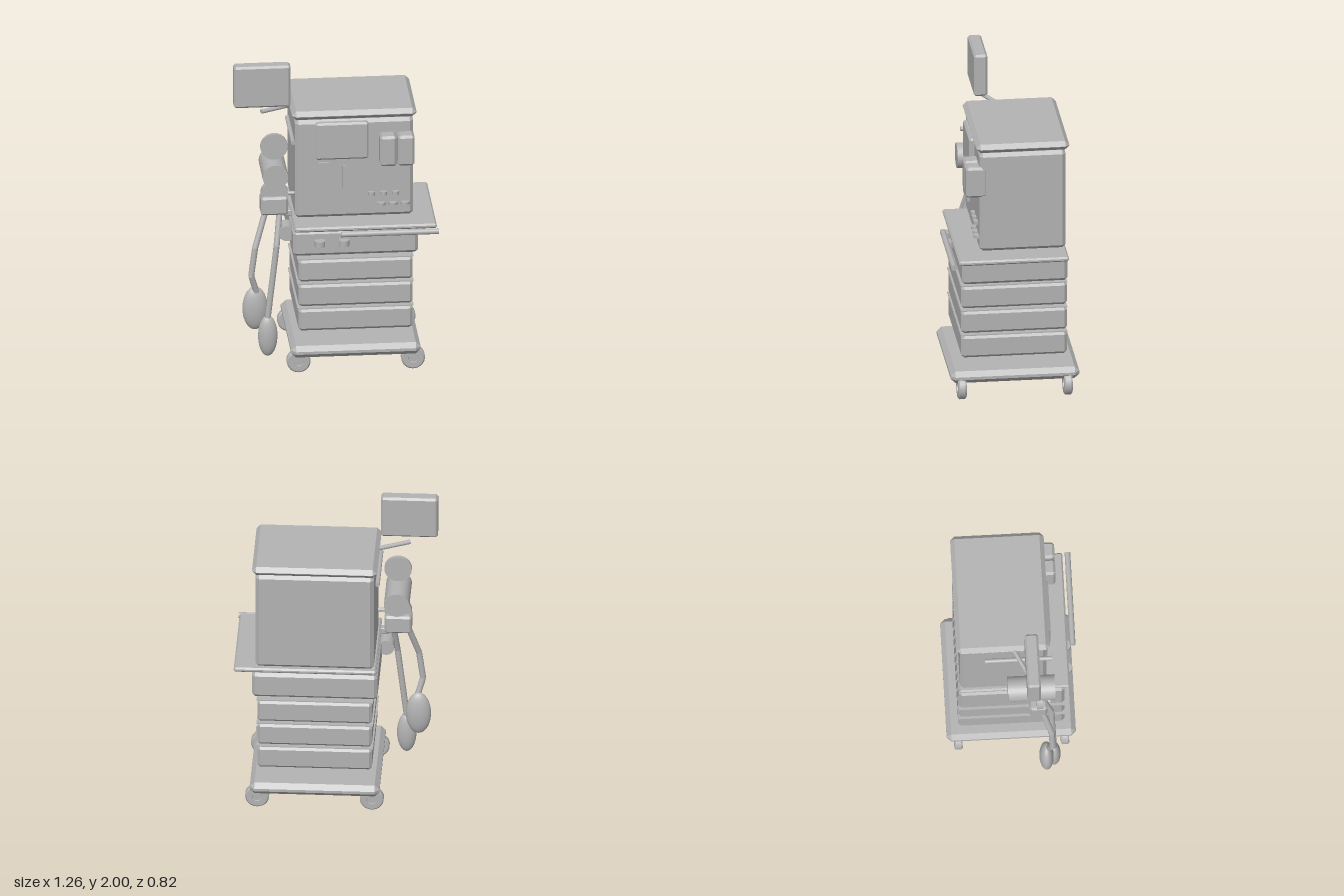
import * as THREE from 'three';
import { ConvexGeometry } from 'three/addons/geometries/ConvexGeometry.js';

export function createModel() {
  const model = new THREE.Group();
  model.name = 'anaesthesiaCart';
  const grey = new THREE.MeshStandardMaterial({ color: 0xb3b3b3 });
  grey.name = 'plainGrey';

  const add = (name, geometry) => {
    const mesh = new THREE.Mesh(geometry, grey);
    mesh.name = name;
    model.add(mesh);
    return mesh;
  };

  // Box between two limits on each axis, all edges chamfered by b
  const block = (name, [x0, x1], [y0, y1], [z0, z1], b = 0) => {
    const w = (x1 - x0) / 2, h = (y1 - y0) / 2, d = (z1 - z0) / 2;
    let geometry;
    if (b > 0) {
      const points = [];
      for (const i of [-1, 1]) for (const j of [-1, 1]) for (const k of [-1, 1]) {
        points.push(
          new THREE.Vector3(i * w, j * (h - b), k * (d - b)),
          new THREE.Vector3(i * (w - b), j * h, k * (d - b)),
          new THREE.Vector3(i * (w - b), j * (h - b), k * d));
      }
      geometry = new ConvexGeometry(points);
    } else {
      geometry = new THREE.BoxGeometry(2 * w, 2 * h, 2 * d);
    }
    const mesh = add(name, geometry);
    mesh.position.set((x0 + x1) / 2, (y0 + y1) / 2, (z0 + z1) / 2);
    return mesh;
  };

  // Cylinder between two points
  const rod = (name, a, b, r, sides = 32) => {
    const p = new THREE.Vector3(...a), q = new THREE.Vector3(...b);
    const dir = q.clone().sub(p);
    const mesh = add(name, new THREE.CylinderGeometry(r, r, dir.length(), sides));
    mesh.position.copy(p).add(q).multiplyScalar(0.5);
    mesh.quaternion.setFromUnitVectors(new THREE.Vector3(0, 1, 0), dir.normalize());
    return mesh;
  };

  // Wheeled base
  block('base', [-0.295, 0.517], [0.11, 0.188], [-0.41, 0.4], 0.03);
  const wheelProfile = [[0, -0.018], [0.03, -0.018], [0.032, -0.026], [0.066, -0.026],
    [0.075, -0.017], [0.075, 0.017], [0.066, 0.026], [0.032, 0.026], [0.03, 0.018], [0, 0.018]];
  for (const x of [-0.246, 0.472]) for (const z of [-0.337, 0.33]) {
    // Doubled points keep the rim edges crisp
    const points = wheelProfile.flatMap(([r, y]) => [new THREE.Vector2(r, y), new THREE.Vector2(r, y)]);
    const wheel = add('casterWheel', new THREE.LatheGeometry(points, 32));
    wheel.rotation.x = Math.PI / 2;
    wheel.position.set(x, 0.075, z);
  }

  // Drawer stack with a thin divider above each drawer
  for (const y of [0.268, 0.433, 0.6]) {
    block('drawer', [-0.245, 0.472], [y, y + 0.148], [-0.335, 0.33], 0.018);
    block('drawerDivider', [-0.253, 0.477], [y + 0.152, y + 0.159], [-0.335, 0.335]);
  }
  block('controlDrawer', [-0.28, 0.506], [0.775, 0.945], [-0.335, 0.33], 0.02);
  for (const x of [-0.113, 0.038]) rod('drawerKnob', [x, 0.852, 0.352], [x, 0.89, 0.352], 0.033);

  // Worktop and front rail
  block('worktop', [-0.272, 0.62], [0.949, 0.98], [-0.33, 0.362], 0.01);
  rod('frontRail', [0.016, 0.945, 0.395], [0.628, 0.945, 0.395], 0.018);

  // Cabinet and lid
  block('cabinet', [-0.257, 0.485], [0.987, 1.645], [-0.325, 0.217], 0.022);
  block('lid', [-0.277, 0.506], [1.653, 1.71], [-0.348, 0.238], 0.027);

  // Cabinet front details
  block('display', [-0.13, 0.202], [1.39, 1.637], [0.2, 0.25], 0.012);
  for (const x of [0.27, 0.382]) block('vaporizer', [x, x + 0.105], [1.353, 1.555], [0.165, 0.303], 0.015);
  block('flowPanel', [-0.108, -0.045], [1.115, 1.365], [0.21, 0.235]);
  block('flowSlot', [0.041, 0.058], [1.19, 1.34], [0.21, 0.23]);
  for (let i = 0; i < 3; i++) {
    const x = 0.222 + i * 0.075;
    rod('upperKnob', [x, 1.132, 0.222], [x, 1.157, 0.222], 0.022);
    rod('lowerKnob', [x + 0.06, 1.066, 0.222], [x + 0.06, 1.084, 0.222], 0.027);
  }

  // Side monitor on its arm
  block('monitor', [-0.635, -0.28], [1.722, 2], [0.077, 0.162], 0.013);
  rod('monitorArm', [-0.46, 1.675, 0.105], [-0.2, 1.675, -0.02], 0.014);
  rod('sideRail', [-0.272, 1.515, -0.17], [-0.272, 1.515, 0.25], 0.014);

  // Breathing unit on the side
  rod('gauge', [-0.384, 1.455, 0.138], [-0.384, 1.455, 0.162], 0.086);
  rod('absorber', [-0.384, 1.29, -0.033], [-0.384, 1.29, 0.262], 0.08);
  rod('lowerDisc', [-0.384, 1.145, 0.145], [-0.384, 1.145, 0.185], 0.085);
  block('valveBlock', [-0.47, -0.3], [1.01, 1.13], [0.1, 0.212], 0.013);
  rod('cabinetConnector', [-0.32, 1.143, 0.17], [-0.24, 1.143, 0.17], 0.013);
  block('bracket', [-0.33, -0.275], [0.99, 1.03], [0.13, 0.18], 0.006);
  rod('sideValve', [-0.31, 0.895, 0.12], [-0.31, 0.895, 0.235], 0.05);

  // Hoses with angular bends, each ending in a bag
  const hose = (points) => {
    for (let i = 1; i < points.length; i++) rod('hose', points[i - 1], points[i], 0.019, 20);
  };
  hose([[-0.443, 1.02, 0.18], [-0.51, 0.805, 0.235], [-0.535, 0.62, 0.24], [-0.5, 0.5, 0.215]]);
  hose([[-0.352, 1.02, 0.18], [-0.375, 0.82, 0.24], [-0.432, 0.34, 0.253]]);
  const bag = (center, radii) => {
    const mesh = add('breathingBag', new THREE.SphereGeometry(1, 32, 20));
    mesh.position.set(...center);
    mesh.scale.set(...radii);
  };
  bag([-0.508, 0.387, 0.203], [0.079, 0.144, 0.045]);
  bag([-0.432, 0.217, 0.253], [0.061, 0.136, 0.042]);

  return model;
}
